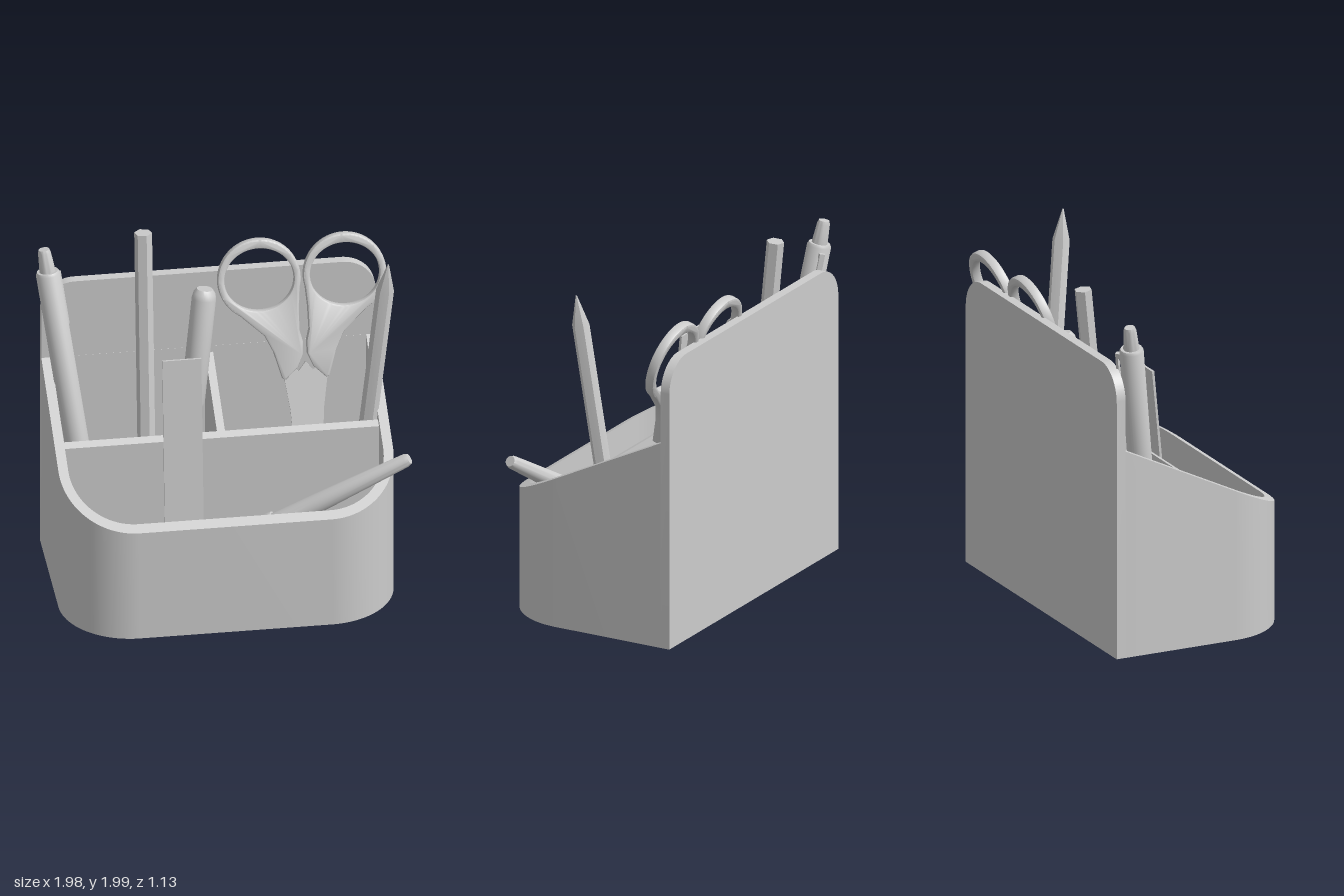
import * as THREE from 'three';
import { toCreasedNormals } from 'three/addons/utils/BufferGeometryUtils.js';

const CX = -0.025, HW = 0.9375, HD = 0.565, WALL = 0.055, FLOOR = 0.06;
const material = new THREE.MeshStandardMaterial({ color: 0xcccccc });
const rim = (z) => 0.68 + (HD - z) * 0.493; // sloping rim height

function part(name, geometry, crease = 0.6) {
  const mesh = new THREE.Mesh(toCreasedNormals(geometry, crease), material);
  mesh.name = name;
  return mesh;
}

// Plan outline (shape y = -z) with two rounded front corners
function plan(inset, back) {
  const w = HW - inset, f = HD - inset, r = 0.4 - inset, s = new THREE.Shape();
  s.moveTo(CX + w, -back);
  s.lineTo(CX - w, -back);
  s.lineTo(CX - w, -(f - r));
  s.absarc(CX - w + r, -(f - r), r, Math.PI, 1.5 * Math.PI, false);
  s.absarc(CX + w - r, -(f - r), r, 1.5 * Math.PI, 2 * Math.PI, false);
  s.closePath();
  return s;
}

function rect(x0, x1, z0, z1) {
  return new THREE.Shape([[x0, -z1], [x1, -z1], [x1, -z0], [x0, -z0]].map((p) => new THREE.Vector2(...p)));
}

// Raise a plan from the ground, ending in a top height given by a rule of z
function raise(name, shape, top, bottom = 0) {
  const g = new THREE.ExtrudeGeometry(shape, { depth: 1, bevelEnabled: false, curveSegments: 20 });
  g.rotateX(-Math.PI / 2);
  const p = g.attributes.position;
  for (let i = 0; i < p.count; i++) p.setY(i, p.getY(i) > 0.5 ? top(p.getZ(i)) : bottom);
  return part(name, g);
}

// Turned stick between two points; profile = [radius, fraction of length]
function stick(name, from, to, profile, sides = 32, spin = 0) {
  const a = new THREE.Vector3(...from), d = new THREE.Vector3(...to).sub(a), len = d.length();
  const pts = profile.map(([r, t]) => new THREE.Vector2(r, t * len));
  const g = new THREE.LatheGeometry([new THREE.Vector2(0, pts[0].y), ...pts, new THREE.Vector2(0, pts.at(-1).y)], sides);
  g.rotateY(spin);
  const group = new THREE.Group();
  group.name = name;
  group.add(part(name + 'Body', g));
  group.position.copy(a);
  group.quaternion.setFromUnitVectors(new THREE.Vector3(0, 1, 0), d.normalize());
  group.userData.len = len;
  return group;
}

// Pocket clip on the side of a pen that faces a given direction
function addClip(pen, direction, radius, t0, t1) {
  const len = pen.userData.len;
  const d = new THREE.Vector3(...direction).applyQuaternion(pen.quaternion.clone().invert());
  const angle = Math.atan2(d.x, d.z);
  const holder = new THREE.Group();
  holder.name = 'clip';
  holder.rotation.y = angle;
  const bar = part('clipBar', new THREE.BoxGeometry(0.03, (t1 - t0) * len, 0.014));
  bar.position.set(0, (t0 + t1) / 2 * len, radius + 0.02);
  const root = part('clipRoot', new THREE.BoxGeometry(0.03, 0.03, 0.04));
  root.position.set(0, t1 * len - 0.015, radius + 0.005);
  holder.add(bar, root);
  pen.add(holder);
}

function createScissors() {
  const group = new THREE.Group();
  group.name = 'scissors';

  // Finger ring with its shank
  const handle = new THREE.Shape();
  handle.absarc(-0.24, 0.51, 0.233, -Math.PI / 12, Math.PI * 4 / 3, false);
  [[-0.224, 0.185], [-0.176, 0.084], [-0.133, -0.067], [-0.112, -0.073], [-0.043, -0.006],
    [-0.012, 0.067], [-0.01, 0.14], [-0.027, 0.207], [-0.024, 0.34]].forEach((p) => handle.lineTo(...p));
  handle.closePath();
  const hole = new THREE.Path();
  hole.absellipse(-0.24, 0.51, 0.195, 0.178, 0, Math.PI * 2, true);
  handle.holes.push(hole);
  const handleGeo = new THREE.ExtrudeGeometry(handle, {
    depth: 0.03, bevelThickness: 0.014, bevelSize: 0.012, bevelOffset: -0.012, bevelSegments: 2, curveSegments: 40,
  });
  handleGeo.translate(0, 0, -0.015);

  // Thin pointed blade
  const blade = new THREE.Shape([[-0.11, 0], [-0.12, -0.08], [-0.095, -0.25], [-0.08, -0.47], [-0.04, -0.85],
    [0, -0.99], [0.03, -0.85], [0.05, -0.3], [0.05, -0.08], [0, 0.02], [-0.04, -0.03]].map((p) => new THREE.Vector2(...p)));
  const bladeGeo = new THREE.ExtrudeGeometry(blade, { depth: 0.012, bevelEnabled: false });

  // The second half is the first turned about the long axis
  for (const turn of [0, Math.PI]) {
    const half = new THREE.Group();
    half.name = turn ? 'leftHalf' : 'rightHalf';
    half.rotation.y = turn;
    half.add(part('handle', handleGeo, 0.7), part('blade', bladeGeo));
    group.add(half);
  }
  group.position.set(0.492, 1.15, -0.333);
  group.rotation.x = -0.29;
  return group;
}

export function createModel() {
  const model = new THREE.Group();
  model.name = 'deskOrganizer';

  // Tray: curved wall, floor and dividers
  const inner = -HD + WALL;
  const wall = plan(0, inner);
  wall.holes.push(plan(WALL, inner + 0.0005));
  model.add(raise('wall', wall, rim));
  model.add(raise('floor', plan(0.002, inner), () => FLOOR));
  const dividerTop = (z) => rim(z) - 0.04;
  model.add(raise('longDivider', rect(CX - HW + WALL, CX + HW - WALL, -0.04, 0), dividerTop, FLOOR));
  model.add(raise('shortDivider', rect(-0.045, 0, inner, -0.04), dividerTop, FLOOR));

  // Back panel with rounded top corners
  const b = new THREE.Shape(), r = 0.19, top = 1.69;
  b.moveTo(CX - HW, 0);
  b.lineTo(CX + HW, 0);
  b.absarc(CX + HW - r, top - r, r, 0, Math.PI / 2, false);
  b.absarc(CX - HW + r, top - r, r, Math.PI / 2, Math.PI, false);
  b.closePath();
  const backGeo = new THREE.ExtrudeGeometry(b, { depth: WALL, bevelEnabled: false, curveSegments: 16 });
  backGeo.translate(0, 0, -HD);
  model.add(part('backPanel', backGeo));

  // Click pen
  const clickPen = stick('clickPen', [-0.695, 0.07, -0.21], [-0.953, 1.93, -0.48],
    [[0.02, 0], [0.045, 0.03], [0.068, 0.09], [0.068, 0.922], [0.06, 0.93], [0.045, 0.93], [0.036, 0.99], [0.03, 1]]);
  addClip(clickPen, [1, 0, -1], 0.066, 0.74, 0.91);
  model.add(clickPen);

  // Pencils: one flat-ended, one sharpened
  model.add(stick('flatPencil', [-0.395, 0.07, -0.3], [-0.395, 1.985, -0.49], [[0.05, 0], [0.05, 1]], 6, Math.PI / 12));
  model.add(stick('sharpPencil', [0.735, 0.07, -0.185], [0.905, 1.98, 0.035],
    [[0.05, 0], [0.05, 0.91], [0.004, 1]], 6, 0.3));

  // Marker with a wider cap
  model.add(stick('marker', [-0.25, 0.08, -0.205], [-0.055, 1.62, -0.445],
    [[0.03, 0], [0.052, 0.02], [0.055, 0.56], [0.062, 0.56], [0.068, 0.575], [0.068, 0.965], [0.062, 0.985], [0.045, 1]]));

  // Capped pen lying in the front compartment
  const cappedPen = stick('cappedPen', [-0.305, 0.175, 0.165], [0.968, 0.95, 0.423],
    [[0.055, 0], [0.068, 0.012], [0.073, 0.42], [0.07, 0.43], [0.06, 0.43], [0.056, 0.6], [0.038, 0.985], [0.03, 1]]);
  addClip(cappedPen, [0, 0.3, -1], 0.064, 0.04, 0.28);
  model.add(cappedPen);

  // Ruler leaning on the long divider
  const ruler = part('ruler', new THREE.BoxGeometry(0.218, 1.365, 0.014));
  ruler.position.set(-0.243, 0.742, 0.03);
  ruler.rotation.x = -0.094;
  model.add(ruler);

  model.add(createScissors());
  return model;
}
